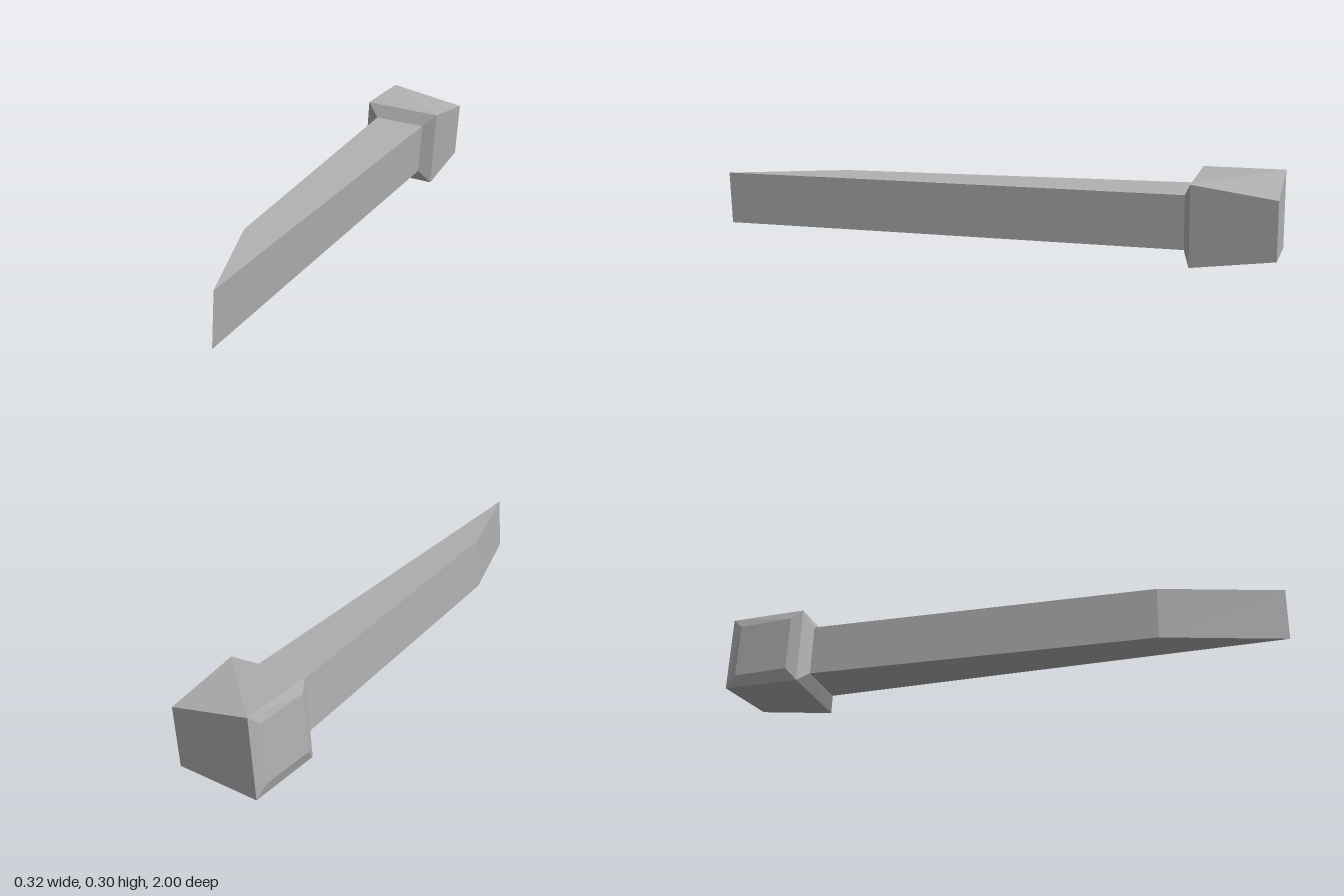
import * as THREE from 'three';

// Flat-faced mesh from quads; each quad is split along its second and fourth corners.
function quadMesh(name, quads, material) {
  const positions = [];
  for (const [a, b, c, d] of quads) positions.push(...a, ...b, ...d, ...b, ...c, ...d);
  const geometry = new THREE.BufferGeometry();
  geometry.setAttribute('position', new THREE.Float32BufferAttribute(positions, 3));
  geometry.computeVertexNormals();
  const mesh = new THREE.Mesh(geometry, material);
  mesh.name = name;
  return mesh;
}

// Side quads between two four-corner sections, from the front one to the rear one.
function loft(front, rear) {
  return front.map((p, i) => {
    const j = (i + 1) % 4;
    return [p, front[j], rear[j], rear[i]];
  });
}

export function createModel() {
  const group = new THREE.Group();
  group.name = 'spike';
  const steel = new THREE.MeshStandardMaterial({ color: 0xb0b0b0, flatShading: true });
  steel.name = 'steel';

  // Sections run top left, top right, bottom right, bottom left as seen from the front.
  const tip = [[0.086, 0.239, 1], [0.086, 0.239, 1], [0.074, 0.049, 1], [0.074, 0.049, 1]];
  const bend = [[-0.036, 0.248, 0.575], [0.091, 0.24, 0.575], [0.079, 0.05, 0.575], [-0.047, 0.058, 0.575]];
  const neck = [[-0.087, 0.253, -0.69], [0.107, 0.242, -0.685], [0.095, 0.052, -0.685], [-0.098, 0.064, -0.69]];
  const headFront = [[-0.133, 0.305, -0.717], [0.158, 0.287, -0.708], [0.14, 0.002, -0.708], [-0.15, 0.021, -0.717]];
  const headBack = [[-0.128, 0.305, -1], [0.162, 0.248, -0.995], [0.148, 0.042, -0.995], [-0.144, 0.025, -1]];

  // Tapered shaft and its one-sided sharpened point
  group.add(quadMesh('shaft', loft(bend, neck), steel));
  const [top, , bottom, slope] = loft(tip, bend);
  const edge = loft(tip, bend)[1];
  group.add(quadMesh('point', [top, edge, bottom, slope], steel));

  // Head: sloping collar, wedge-shaped body and back
  group.add(quadMesh('collar', loft(neck, headFront), steel));
  const [headTop, headSide, headBottom] = loft(headFront, headBack);
  const [a, b, c, d] = headBottom;
  group.add(quadMesh('head', [headTop, headSide, [b, c, d, a], headBack], steel));

  // Raised panel with bevelled borders on one side of the head
  const rim = [headFront[3], headFront[0], headBack[0], headBack[3]];
  const panel = [[-0.163, 0.066, -0.757], [-0.149, 0.27, -0.757], [-0.142, 0.268, -0.96], [-0.156, 0.066, -0.96]];
  group.add(quadMesh('sidePanel', [...loft(rim, panel), panel], steel));

  return group;
}
